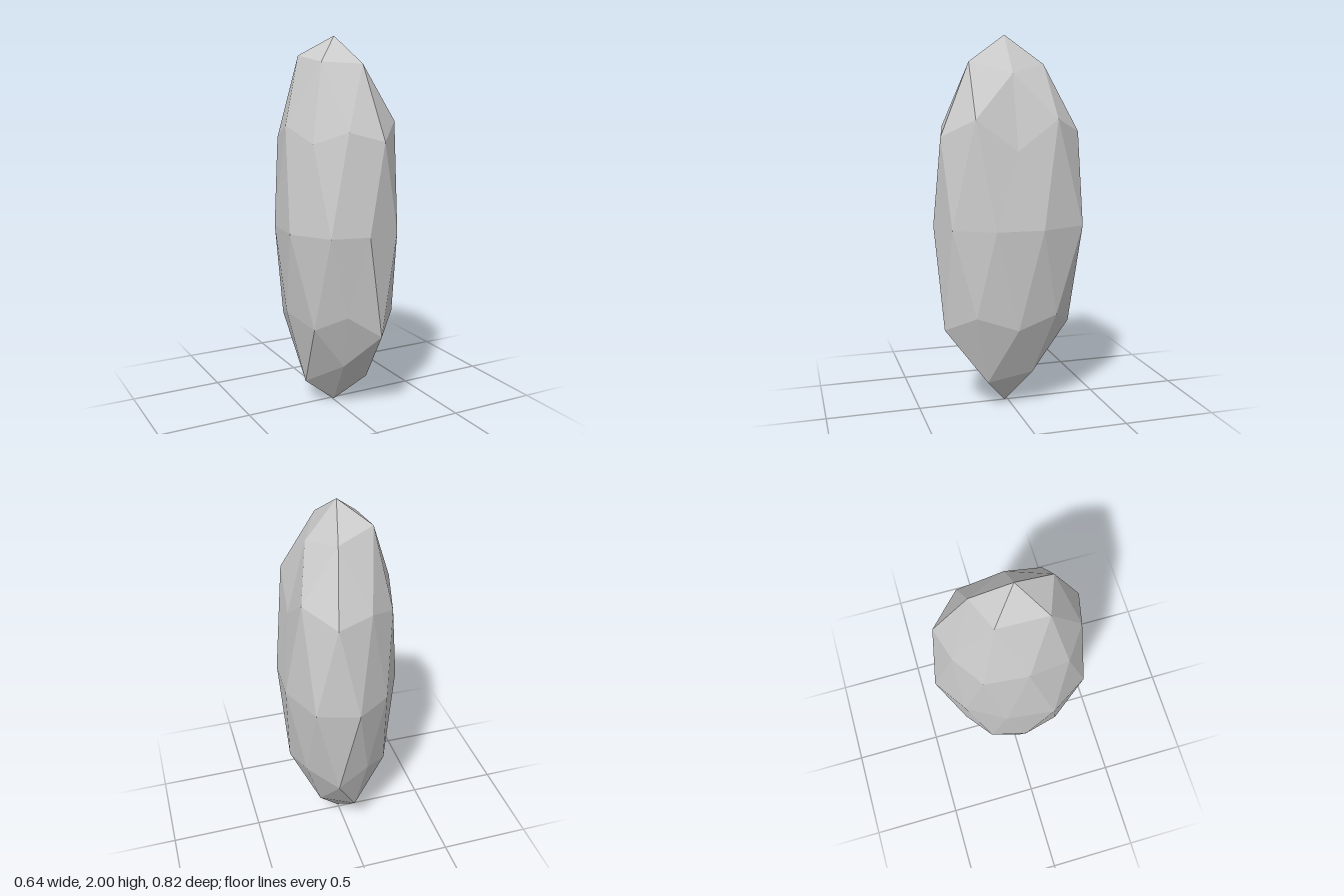
import * as THREE from 'three';

// Hand-shaped rings of [x, y, z], each running counterclockwise seen from above
const top = [0.005, 2, 0.02];
const crown = [
  [0.165, 1.8, 0.02], [0.055, 1.85, -0.18], [-0.14, 1.9, -0.11], [-0.135, 1.87, 0.15], [0.06, 1.86, 0.225],
];
const shoulder = [
  [0.265, 1.41, 0.02], [0.245, 1.57, -0.2], [0.105, 1.5, -0.36], [-0.08, 1.53, -0.31], [-0.225, 1.47, -0.195],
  [-0.275, 1.55, 0.02], [-0.225, 1.47, 0.235], [-0.08, 1.53, 0.34], [0.1, 1.48, 0.385], [0.245, 1.57, 0.235],
];
const girdle = [
  [0.32, -0.105], [0.22, -0.35], [0.005, -0.415], [-0.175, -0.295], [-0.29, -0.1],
  [-0.32, 0.155], [-0.19, 0.36], [0.005, 0.41], [0.2, 0.35], [0.31, 0.145],
].map(([x, z]) => [x, 1.01, z]);
const hip = [
  [0.285, 0.48, 0.02], [0.24, 0.54, -0.2], [0.09, 0.46, -0.32], [-0.08, 0.55, -0.29], [-0.215, 0.49, -0.17],
  [-0.28, 0.56, 0.02], [-0.215, 0.5, 0.22], [-0.08, 0.58, 0.335], [0.1, 0.46, 0.375], [0.245, 0.55, 0.235],
];
const foot = [
  [0.14, 0.2, -0.1], [-0.045, 0.18, -0.18], [-0.17, 0.14, 0.02], [-0.04, 0.27, 0.22], [0.14, 0.16, 0.15],
];
const bottom = [0.005, 0, 0.02];

export function createModel() {
  const positions = [];
  const tri = (a, b, c) => positions.push(...a, ...b, ...c);
  const at = (ring, i) => ring[i % ring.length];

  // Tips, and the bands joining five-point rings to ten-point rings
  for (let i = 0; i < 5; i++) {
    const c0 = crown[i], c1 = at(crown, i + 1);
    const s = at(shoulder, 2 * i + 1);
    tri(top, c0, c1);
    tri(c0, shoulder[2 * i], s);
    tri(c0, s, c1);
    tri(c1, s, at(shoulder, 2 * i + 2));

    const f0 = foot[i], f1 = at(foot, i + 1);
    const h = at(hip, 2 * i + 2);
    tri(hip[2 * i], f0, hip[2 * i + 1]);
    tri(hip[2 * i + 1], f0, h);
    tri(h, f0, f1);
    tri(f0, bottom, f1);
  }

  // Long facets above and below the girdle
  for (let k = 0; k < 10; k++) {
    const g0 = girdle[k], g1 = at(girdle, k + 1);
    const s1 = at(shoulder, k + 1), h1 = at(hip, k + 1);
    tri(shoulder[k], g0, s1);
    tri(s1, g0, g1);
    tri(g0, hip[k], h1);
    tri(g0, h1, g1);
  }

  const geometry = new THREE.BufferGeometry();
  geometry.setAttribute('position', new THREE.Float32BufferAttribute(positions, 3));
  geometry.computeVertexNormals();

  const stone = new THREE.Mesh(
    geometry,
    new THREE.MeshStandardMaterial({ color: 0xcccccc, flatShading: true }),
  );
  stone.name = 'facetedStone';

  const group = new THREE.Group();
  group.name = 'stone';
  group.add(stone);
  return group;
}
